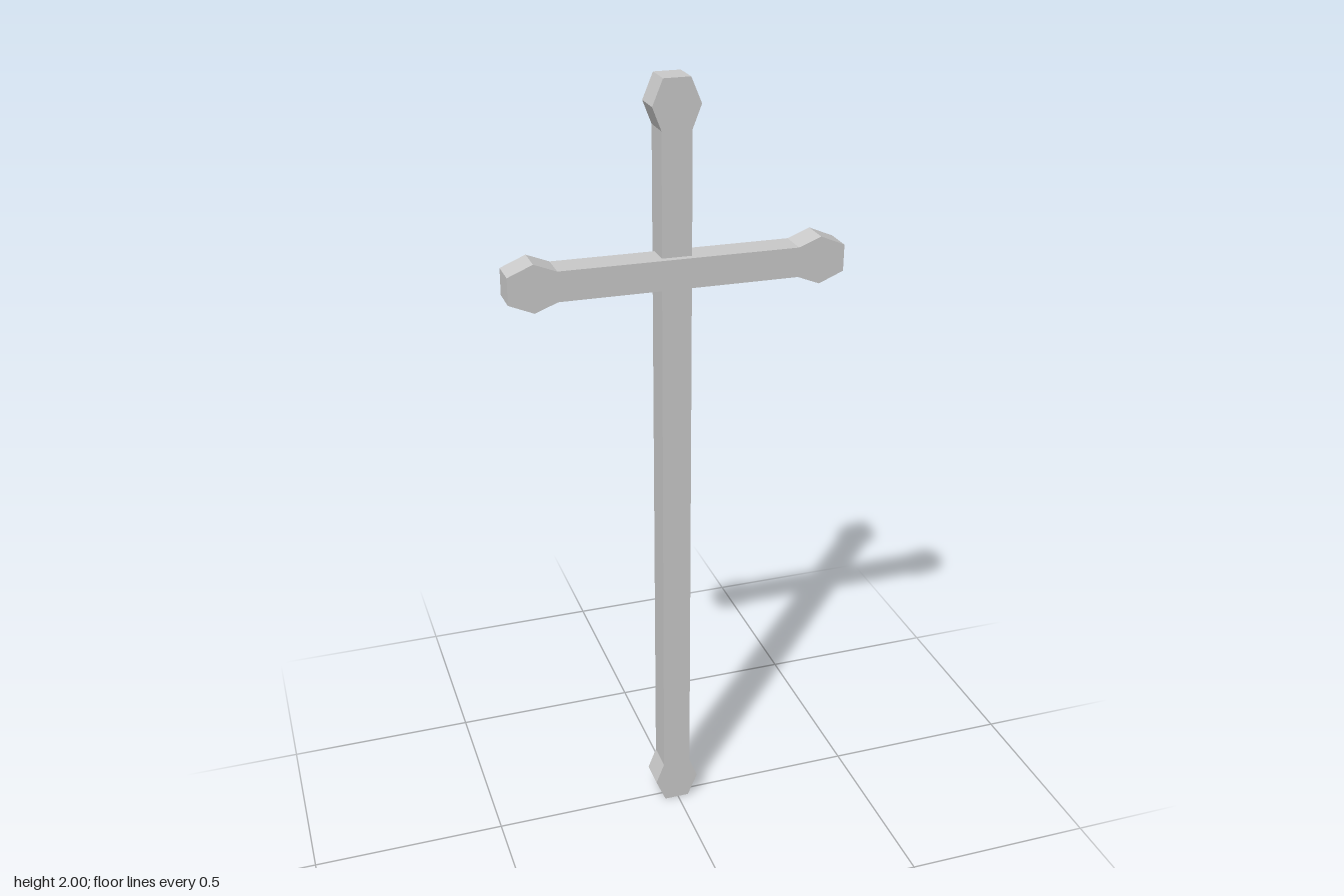
import * as THREE from 'three';

const DEPTH = 0.075;

// Straight beam along y with flared, tapered ends, centred on its origin
function flaredBeam(name, halfLength) {
  const quarter = [
    [0.037, halfLength - 0.118], // neck
    [0.059, halfLength - 0.062], // widest point
    [0.033, halfLength],         // flat tip
  ];
  const top = [...quarter, ...quarter.map(([x, y]) => [-x, y]).reverse()];
  const outline = [...top, ...top.map(([x, y]) => [-x, -y])];
  const shape = new THREE.Shape(outline.map(([x, y]) => new THREE.Vector2(x, y)));
  const geometry = new THREE.ExtrudeGeometry(shape, { depth: DEPTH, bevelEnabled: false });
  geometry.translate(0, 0, -DEPTH / 2);
  const material = new THREE.MeshStandardMaterial({ color: 0xcccccc, flatShading: true });
  const mesh = new THREE.Mesh(geometry, material);
  mesh.name = name;
  return mesh;
}

export function createModel() {
  const group = new THREE.Group();
  group.name = 'cross';

  // Upright, set slightly back
  const post = flaredBeam('post', 1);
  post.position.set(-0.004, 1, -0.01);
  group.add(post);

  // Crossbar, set slightly forward and tilted a touch
  const crossbar = flaredBeam('crossbar', 0.415);
  crossbar.position.set(0, 1.546, 0.007);
  crossbar.rotation.z = Math.PI / 2 - 0.007;
  group.add(crossbar);

  return group;
}
